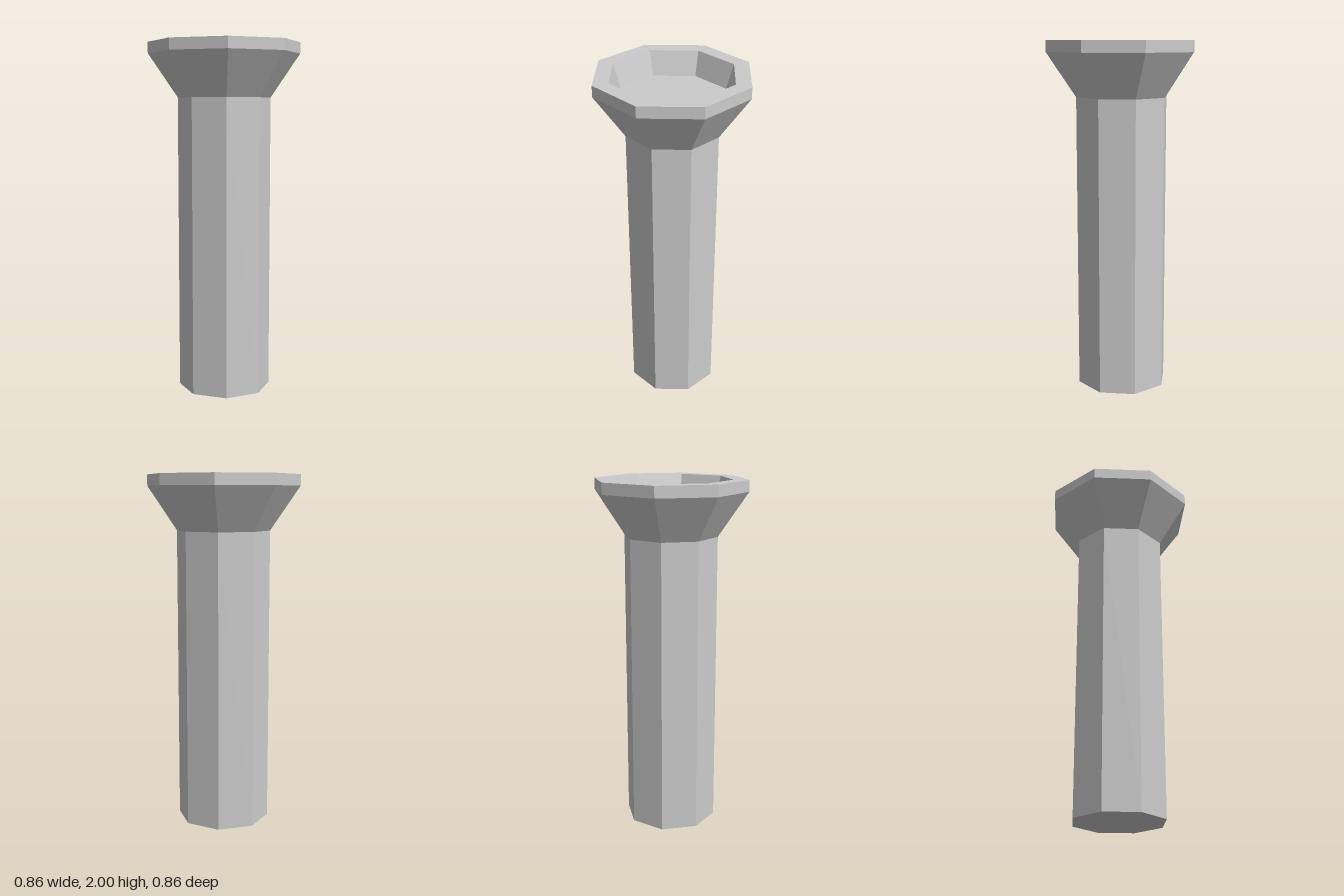
import * as THREE from 'three';

const material = new THREE.MeshStandardMaterial({ color: 0xcccccc, flatShading: true });

// Eight-sided turned part from [radius, height] pairs, listed from the bottom up the outside
function octagonalPart(name, profile) {
  const points = profile.map(([r, y]) => new THREE.Vector2(r, y));
  const geometry = new THREE.LatheGeometry(points, 8).toNonIndexed();
  geometry.computeVertexNormals();
  const mesh = new THREE.Mesh(geometry, material);
  mesh.name = name;
  return mesh;
}

export function createModel() {
  const group = new THREE.Group();
  group.name = 'pedestal';

  // Straight shaft with a closed underside
  group.add(octagonalPart('shaft', [[0, 0], [0.265, 0], [0.265, 1.69]]));

  // Flared head: slope, upright band, flat rim, then the sunken basin and its floor
  group.add(octagonalPart('basinHead', [
    [0.265, 1.69], [0.432, 1.937], [0.432, 2],
    [0.345, 2], [0.305, 1.868], [0, 1.868],
  ]));

  return group;
}
